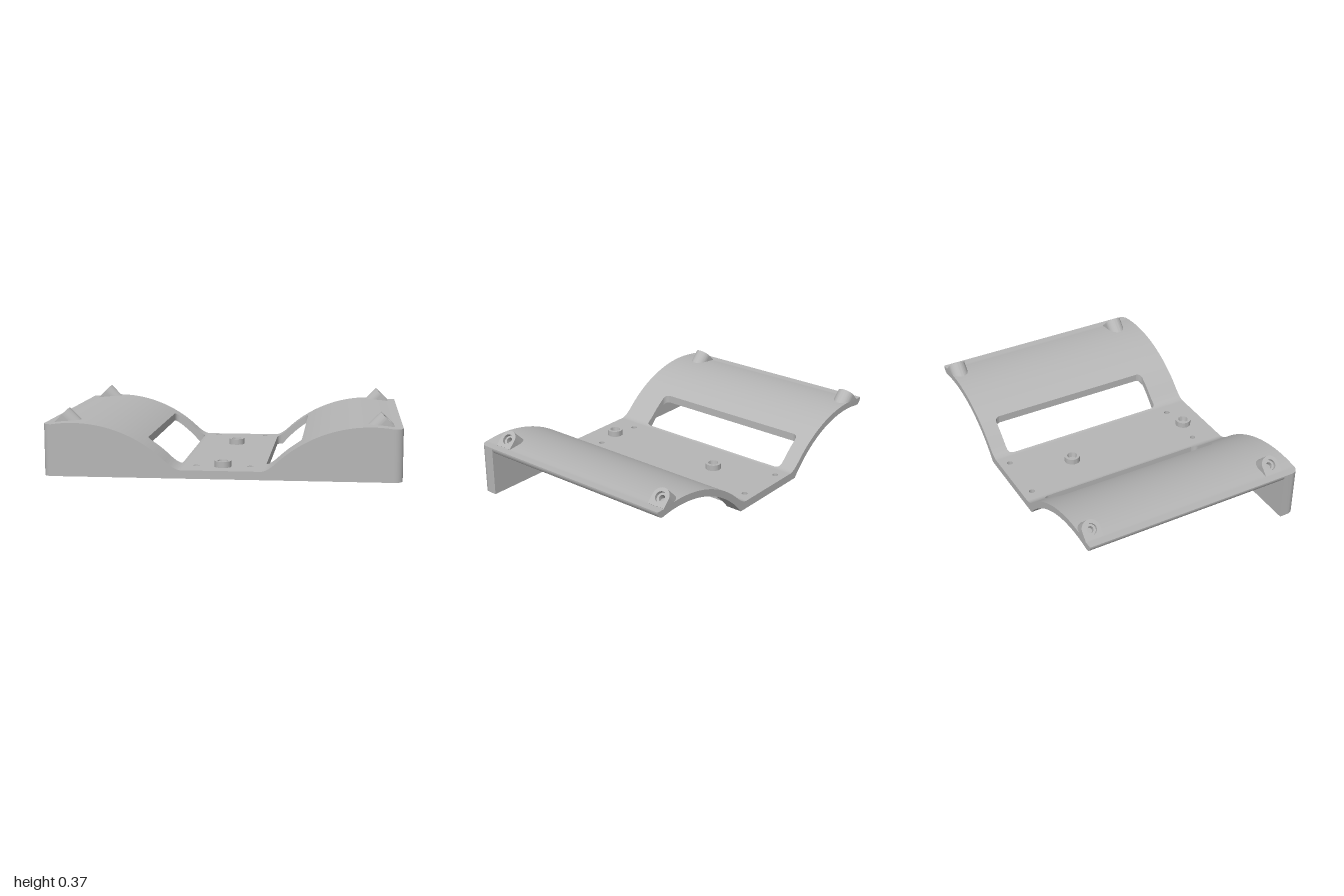
import * as THREE from 'three';
import { toCreasedNormals } from 'three/addons/utils/BufferGeometryUtils.js';

const FLAT = 0.047, BACK = -0.667, FRONT = 0.667, WALL = 0.567;
const WIN = { x0: 0.24, x1: 0.44, z0: -0.57, z1: 0.47, r: 0.03 };
const ARC = { x: 0.83, y: -0.457, outer: 0.76, inner: 0.72 };

const grey = new THREE.MeshStandardMaterial({ color: 0xb6b6b6 });
grey.name = 'grey plastic';

function add(parent, name, geometry) {
  const mesh = new THREE.Mesh(geometry, grey);
  mesh.name = name;
  parent.add(mesh);
  return mesh;
}

const range = (a, b, n) => Array.from({ length: n + 1 }, (_, i) => a + ((b - a) * i) / n);
const inset = (d, r) => (d <= 0 ? 0 : r - Math.sqrt(Math.max(0, r * r - d * d)));

// Curved profile: flat centre blending into an arched wing
function arcY(x, r) {
  return ARC.y + Math.sqrt(r * r - (x - ARC.x) ** 2);
}
function top(x) {
  if (x > 0.95) return arcY(0.95, ARC.outer);
  const a = arcY(x, ARC.outer), k = 0.05;
  const h = Math.max(k - Math.abs(a - FLAT), 0) / k;
  return Math.max(a, FLAT) + (h * h * k) / 4;
}
function underside(x) {
  if (x > 0.96) return arcY(0.96, ARC.inner) + inset(x - 0.96, 0.04);
  return Math.max(0, arcY(x, ARC.inner));
}

// Plan outlines: rounded outer front corner and rounded window corners
const frontEdge = (x) => FRONT - inset(x - 0.95, 0.05);
const winInset = (x) => inset(WIN.r - Math.min(x - WIN.x0, WIN.x1 - x), WIN.r);

// Solid lofted along x from four-cornered sections, on side s (+1 or -1)
function slab(s, xs, bottom, z0, z1) {
  const list = s > 0 ? xs : [...xs].reverse();
  const pos = [], idx = [];
  for (const x of list) {
    const a = z0(x), b = z1(x), t = top(x), u = bottom(x);
    pos.push(s * x, t, a, s * x, t, b, s * x, u, b, s * x, u, a);
  }
  const last = (list.length - 1) * 4;
  for (let i = 0; i < last; i += 4) {
    for (let j = 0; j < 4; j++) {
      const k = (j + 1) % 4;
      idx.push(i + j, i + k, i + 4 + k, i + j, i + 4 + k, i + 4 + j);
    }
  }
  idx.push(0, 2, 1, 0, 3, 2, last, last + 1, last + 2, last, last + 2, last + 3);
  const g = new THREE.BufferGeometry();
  g.setAttribute('position', new THREE.Float32BufferAttribute(pos, 3));
  g.setIndex(idx);
  return toCreasedNormals(g, 0.5);
}

function circlePath(x, y, r) {
  return new THREE.Path().absarc(x, y, r, 0, Math.PI * 2, true);
}

// Slanted boss: shape extruded along a 45 degree axis, its foot cut level inside the wing
function slantedPrism(shape, recess) {
  const s = Math.SQRT1_2;
  const g = new THREE.ExtrudeGeometry(shape, { depth: 1, bevelEnabled: false, curveSegments: 24 });
  g.translate(0, 0, -1);
  const p = g.attributes.position;
  for (let i = 0; i < p.count; i++) {
    const v = p.getY(i);
    const cut = -(0.333 + v * s - 0.283) / s;
    p.setZ(i, p.getZ(i) < -0.5 ? Math.min(cut, -recess - 0.002) : -recess);
  }
  g.applyMatrix4(new THREE.Matrix4().makeBasis(
    new THREE.Vector3(0, 0, -1), new THREE.Vector3(-s, s, 0), new THREE.Vector3(s, s, 0)));
  g.translate(0.915, 0.333, 0);
  return toCreasedNormals(g, 0.5);
}

export function createModel() {
  const model = new THREE.Group();
  model.name = 'cradleTray';

  // Flat centre plate with four screw holes
  const plate = new THREE.Shape();
  plate.moveTo(-0.2, -FRONT).lineTo(0.2, -FRONT).lineTo(0.2, -BACK).lineTo(-0.2, -BACK).closePath();
  for (const x of [-0.155, 0.155]) {
    for (const z of [-0.605, 0.505]) plate.holes.push(circlePath(x, -z, 0.017));
  }
  const plateGeo = new THREE.ExtrudeGeometry(plate, { depth: FLAT, bevelEnabled: false, curveSegments: 20 });
  plateGeo.rotateX(-Math.PI / 2);
  add(model, 'centrePlate', toCreasedNormals(plateGeo, 0.5));

  // Arched wings, each with a long window, and the front wall below them
  const inner = range(0.2, WIN.x0, 8);
  const middle = range(WIN.x0, WIN.x1, 48);
  const tip = range(0, Math.PI / 2, 10).map((a) => 0.95 + 0.05 * Math.sin(a)).slice(1);
  const outer = [...range(WIN.x1, 0.95, 30), ...tip];
  const back = () => BACK, wall = () => WALL;
  for (const s of [1, -1]) {
    const wing = new THREE.Group();
    wing.name = s > 0 ? 'leftWing' : 'rightWing';
    model.add(wing);
    add(wing, 'wingRoot', slab(s, inner, underside, back, wall));
    add(wing, 'windowBackRail', slab(s, middle, underside, back, (x) => WIN.z0 + winInset(x)));
    add(wing, 'windowFrontRail', slab(s, middle, underside, (x) => WIN.z1 - winInset(x), wall));
    add(wing, 'wingArch', slab(s, outer, underside, back, wall));
    add(wing, 'frontWall', slab(s, [...inner, ...middle.slice(1), ...outer.slice(1)], () => 0, wall, frontEdge));
  }

  // Slanted screw bosses at the four corners
  const face = new THREE.Shape();
  face.moveTo(-0.053, -0.053).lineTo(0.053, -0.053).lineTo(0.053, 0);
  face.absarc(0, 0, 0.053, 0, Math.PI, false);
  face.closePath();
  face.holes.push(circlePath(0, 0, 0.031));
  const seat = new THREE.Shape().absarc(0, 0, 0.032, 0, Math.PI * 2, false);
  seat.holes.push(circlePath(0, 0, 0.018));
  const bossGeo = slantedPrism(face, 0);
  const seatGeo = slantedPrism(seat, 0.018);
  for (const turn of [0, Math.PI]) {
    for (const z of [0.525, -0.614]) {
      const boss = new THREE.Group();
      boss.name = 'cornerBoss';
      boss.rotation.y = turn;
      boss.position.z = z;
      add(boss, 'bossBody', bossGeo);
      add(boss, 'bossSeat', seatGeo);
      model.add(boss);
    }
  }

  // Round standoffs with blind bores on the centre line
  const profile = [[0.047, 0.04], [0.047, 0.082], [0.03, 0.082], [0.025, 0.052], [0, 0.052]]
    .map(([r, y]) => new THREE.Vector2(r, y));
  const standoff = toCreasedNormals(new THREE.LatheGeometry(profile, 40), 0.5);
  for (const z of [-0.26, 0.53]) add(model, 'standoff', standoff).position.z = z;

  return model;
}
